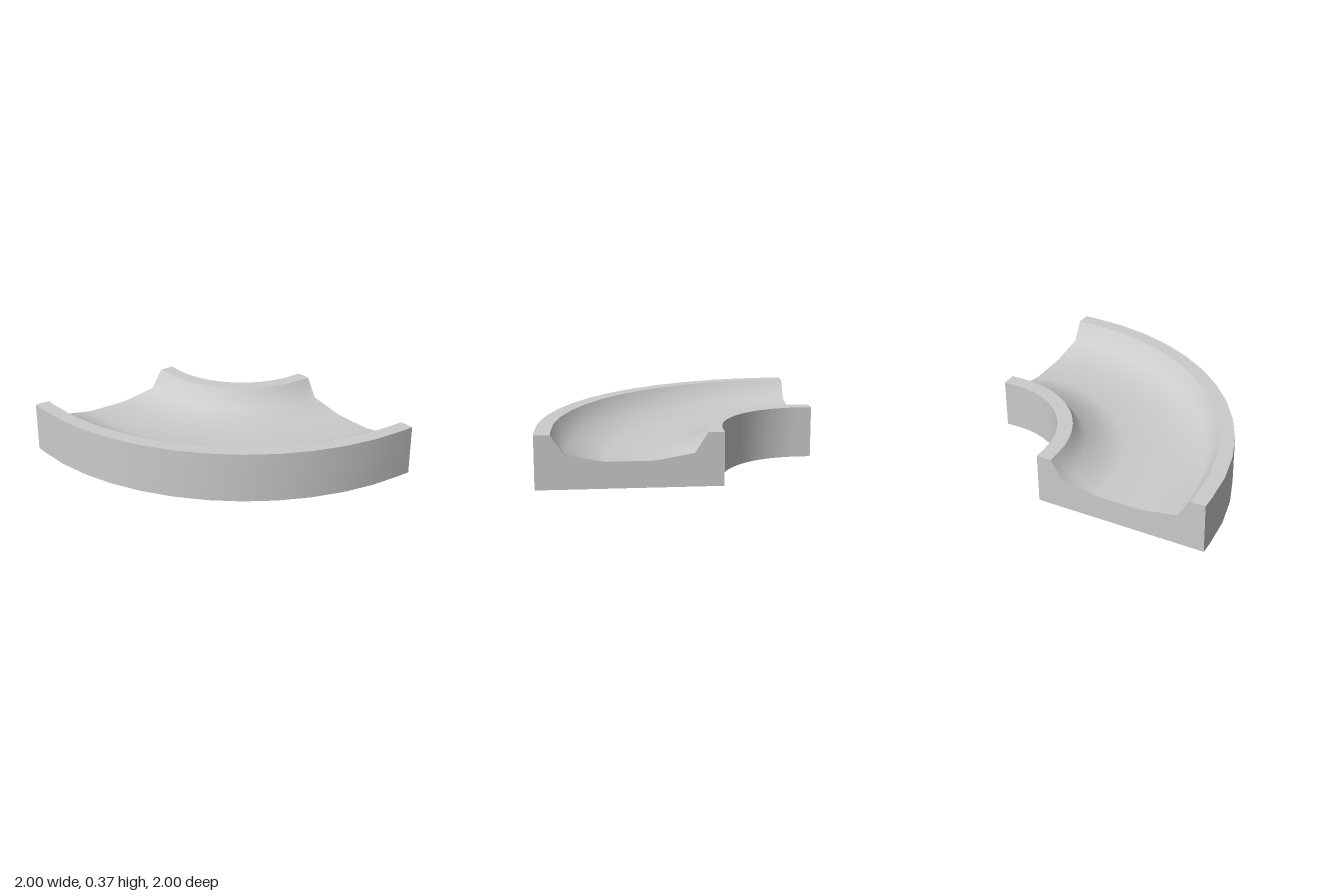
import * as THREE from 'three';
import { toCreasedNormals } from 'three/addons/utils/BufferGeometryUtils.js';

const HEIGHT = 0.37;
const STRAIGHT = 0.1;            // short straight run at each end
const TURN_STEPS = 12;           // segments in the quarter turn
const CENTRE = -1 + STRAIGHT;    // turn centre on x and z
const INNER = 0.64, OUTER = 1.9; // wall radii of the turn

// Half of the channel: distance from its middle, depth below the rim
const CHANNEL = [[0.52, 0], [0.43, 0.14], [0.16, 0.186]];

// Cross-section: a slab with a shallow channel in its top
function channelSection() {
  const mid = (INNER + OUTER) / 2;
  const outerHalf = CHANNEL.map(([d, depth]) => new THREE.Vector2(mid + d, HEIGHT - depth));
  const innerHalf = CHANNEL.map(([d, depth]) => new THREE.Vector2(mid - d, HEIGHT - depth)).reverse();
  return new THREE.Shape([
    new THREE.Vector2(INNER, 0),
    new THREE.Vector2(OUTER, 0),
    new THREE.Vector2(OUTER, HEIGHT),
    ...outerHalf,
    ...innerHalf,
    new THREE.Vector2(INNER, HEIGHT),
  ]);
}

// Bend a straight extrusion: one step straight, the quarter turn, one step straight
function bend(geometry) {
  const pos = geometry.attributes.position;
  for (let i = 0; i < pos.count; i++) {
    const r = pos.getX(i), step = Math.round(pos.getZ(i));
    const turn = THREE.MathUtils.clamp(step - 1, 0, TURN_STEPS);
    const a = (turn / TURN_STEPS) * Math.PI / 2;
    let x = CENTRE + r * Math.cos(a), z = CENTRE + r * Math.sin(a);
    if (step === 0) z -= STRAIGHT;
    if (step === TURN_STEPS + 2) x -= STRAIGHT;
    pos.setXYZ(i, x, pos.getY(i), z);
  }
  return geometry;
}

export function createModel() {
  const group = new THREE.Group();
  group.name = 'curvedTrack';

  const steps = TURN_STEPS + 2;
  const geometry = bend(new THREE.ExtrudeGeometry(channelSection(), {
    depth: steps, steps, bevelEnabled: false,
  }));
  const track = new THREE.Mesh(
    toCreasedNormals(geometry, 0.85),
    new THREE.MeshStandardMaterial({ color: 0xcccccc }),
  );
  track.name = 'channelBend';
  group.add(track);
  return group;
}
